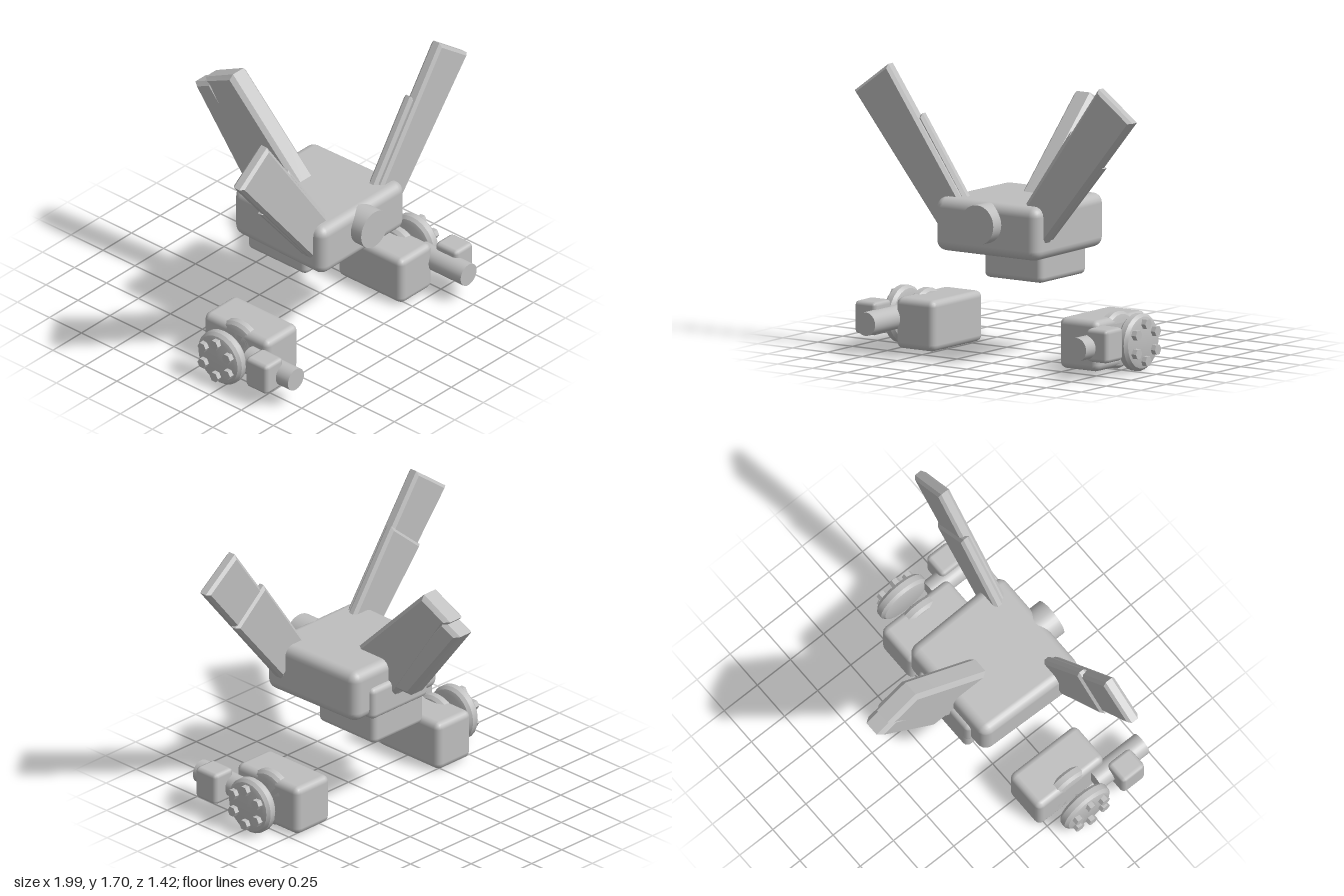
import * as THREE from 'three';
import { RoundedBoxGeometry } from 'three/addons/geometries/RoundedBoxGeometry.js';
import { toCreasedNormals } from 'three/addons/utils/BufferGeometryUtils.js';

const grey = new THREE.MeshStandardMaterial({ color: 0xbebebe });
grey.name = 'grey';

function add(parent, name, geometry) {
  const mesh = new THREE.Mesh(geometry, grey);
  mesh.name = name;
  parent.add(mesh);
  return mesh;
}

// Rounded box given by its [min, max] ranges
function box(parent, name, [x0, x1], [y0, y1], [z0, z1], radius, segments = 2) {
  const mesh = add(parent, name, new RoundedBoxGeometry(x1 - x0, y1 - y0, z1 - z0, segments, radius));
  mesh.position.set((x0 + x1) / 2, (y0 + y1) / 2, (z0 + z1) / 2);
  return mesh;
}

// Bevelled plate, centred on its thickness; the outline keeps its full size
function plateGeometry(points, thickness, bevel) {
  const shape = new THREE.Shape(points.map(([x, y]) => new THREE.Vector2(x, y)));
  const geometry = new THREE.ExtrudeGeometry(shape, {
    depth: thickness - 2 * bevel, bevelEnabled: true, bevelSegments: 1,
    bevelThickness: bevel, bevelSize: bevel, bevelOffset: -bevel,
  });
  geometry.translate(0, 0, -(thickness - 2 * bevel) / 2);
  return toCreasedNormals(geometry, 0.3);
}

// Disc along x with rounded shoulders
function discGeometry(radius, width) {
  const w = width / 2;
  const profile = [
    [0, -w], [radius * 0.74, -w], [radius * 0.9, -w * 0.82], [radius, -w * 0.4],
    [radius, w * 0.4], [radius * 0.9, w * 0.82], [radius * 0.74, w], [0, w],
  ].map(([r, y]) => new THREE.Vector2(r, y));
  return toCreasedNormals(new THREE.LatheGeometry(profile, 24).rotateZ(-Math.PI / 2), 0.5);
}

function cylinderZ(parent, name, radius, x, y, z0, z1) {
  const geometry = new THREE.CylinderGeometry(radius, radius, z1 - z0, 32).rotateX(Math.PI / 2);
  add(parent, name, geometry).position.set(x, y, (z0 + z1) / 2);
}

function buildSide(side) {
  const group = new THREE.Group();
  group.name = side > 0 ? 'leftSide' : 'rightSide';
  const mirrored = (points) => points.map(([x, y]) => [side * x, y]);
  const range = (a, b) => (side > 0 ? [a, b] : [-b, -a]);

  // Slanted front wing with a wider backing plate on its lower half
  const wing = plateGeometry(mirrored([[0.755, 1.7], [0.22, 0.94], [0.37, 0.75], [0.997, 1.52]]), 0.08, 0.018);
  add(group, 'wing', wing).position.z = 0.46;
  const backing = plateGeometry(mirrored([[0.532, 1.425], [0.21, 0.96], [0.385, 0.765], [0.768, 1.225]]), 0.065, 0.018);
  add(group, 'wingBacking', backing).position.z = 0.437;

  // Pod with one disc sunk into it and one beside it
  box(group, 'pod', range(0.447, 0.727), [0.015, 0.318], [-0.045, 0.46], 0.04);
  add(group, 'innerDisc', discGeometry(0.17, 0.09)).position.set(side * 0.682, 0.175, 0.21);
  add(group, 'wheel', discGeometry(0.17, 0.09)).position.set(side * 0.842, 0.175, 0.21);

  // Ring of hexagonal wheel bolts
  for (let i = 0; i < 6; i++) {
    const a = (i * Math.PI) / 3;
    const bolt = new THREE.CylinderGeometry(0.032, 0.032, 0.05, 6).toNonIndexed().rotateZ(Math.PI / 2).rotateX(Math.PI / 2);
    bolt.computeVertexNormals();
    bolt.rotateX(Math.PI / 6 * 3);
    add(group, 'wheelBolt', bolt).position.set(side * 0.892, 0.178 + 0.11 * Math.cos(a), 0.21 + 0.11 * Math.sin(a));
  }

  // Forward barrel and its housing
  cylinderZ(group, 'barrel', 0.07, side * 0.757, 0.19, 0.35, 0.71);
  box(group, 'barrelHousing', range(0.755, 0.908), [0.105, 0.303], [0.445, 0.615], 0.025, 1);
  return group;
}

export function createModel() {
  const model = new THREE.Group();
  model.name = 'model';

  // Main body, slightly narrower towards the back
  const body = box(model, 'body', [-0.37, 0.37], [0.645, 0.963], [-0.15, 0.57], 0.06, 3);
  const p = body.geometry.attributes.position;
  for (let i = 0; i < p.count; i++) {
    p.setX(i, p.getX(i) * (1 - 0.05 * Math.max(0, -p.getZ(i) / 0.36)));
  }

  // Nose, belly and rear plate
  cylinderZ(model, 'nose', 0.118, 0, 0.843, 0.5, 0.65);
  box(model, 'belly', [-0.21, 0.21], [0.465, 0.68], [-0.165, 0.297], 0.035);
  box(model, 'rearPlate', [-0.235, 0.235], [0.637, 0.84], [-0.178, 0.05], 0.035);

  // Swept rear fin: main blade and the stepped strip along its trailing edge
  const blade = [[-0.2, 0.88], [0.2, 0.76], [0.595, 1.345], [0.63, 1.378], [0.415, 1.485], [-0.115, 0.96]];
  const strip = [[0.12, 0.84], [0.17, 0.74], [0.22, 0.79], [0.31, 0.79], [0.71, 1.31], [0.575, 1.375]];
  for (const [name, points, width] of [['finBlade', blade, 0.144], ['finStrip', strip, 0.142]]) {
    add(model, name, plateGeometry(points, width, 0.025)).rotation.y = Math.PI / 2;
  }

  model.add(buildSide(1), buildSide(-1));
  return model;
}
